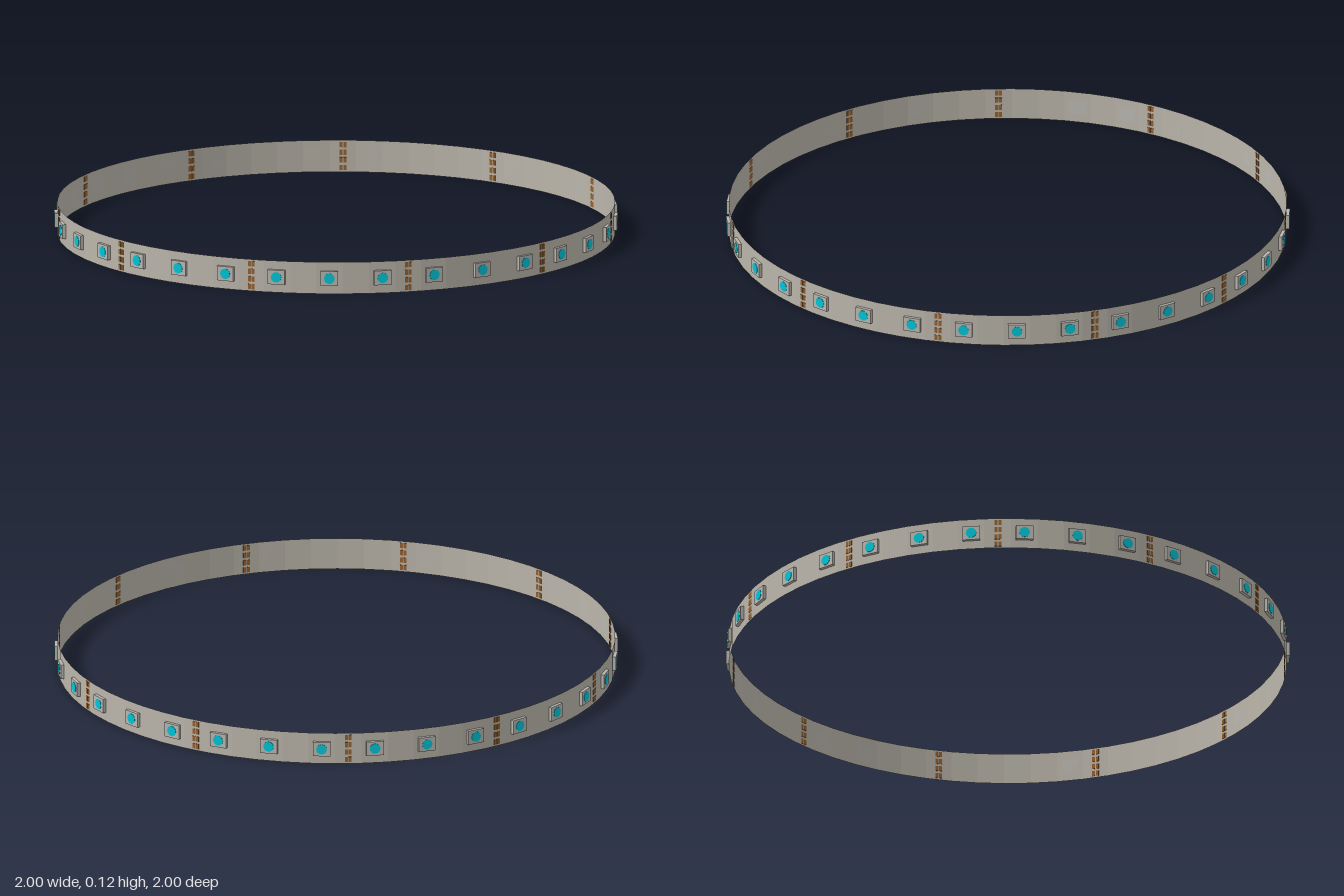
import * as THREE from 'three';

const LEDS = 33, FACETS = 66, R = 0.987, H = 0.115;
const STEP = (Math.PI * 2) / LEDS;
const TURN = -0.006; // slight rotation of the whole ring

function material(name, color, side = THREE.FrontSide) {
  const m = new THREE.MeshStandardMaterial({ color, side });
  m.name = name;
  return m;
}

export function createModel() {
  const root = new THREE.Group();
  root.name = 'ledStripRing';

  const stripMat = material('strip grey', 0xbab5aa, THREE.DoubleSide);
  stripMat.flatShading = true;
  const housingMat = material('housing grey', 0xb9b7b0);
  const lensMat = material('lens cyan', 0x00c4d6);
  const copperMat = material('copper brown', 0x94602f);

  const add = (parent, name, geo, mat, x, y, z) => {
    const mesh = new THREE.Mesh(geo, mat);
    mesh.name = name;
    mesh.position.set(x, y, z);
    parent.add(mesh);
    return mesh;
  };

  // Group whose local +z points outward at the given angle
  const station = (name, angle) => {
    const g = new THREE.Group();
    g.name = name;
    g.rotation.y = angle + TURN;
    root.add(g);
    return g;
  };

  // Thin open band, with a facet centred behind each lamp
  const seg = (Math.PI * 2) / FACETS;
  const rim = R / Math.cos(seg / 2);
  const band = new THREE.CylinderGeometry(rim, rim, H, FACETS, 1, true, seg / 2);
  add(root, 'strip', band, stripMat, 0, H / 2, 0).rotation.y = TURN;

  // Lamps: square housing, round lens
  const housing = new THREE.BoxGeometry(0.062, 0.052, 0.012);
  const lens = new THREE.CylinderGeometry(0.019, 0.019, 0.003, 12).rotateX(Math.PI / 2);
  for (let i = 0; i < LEDS; i++) {
    const g = station('lamp', (i + 0.5) * STEP);
    add(g, 'housing', housing, housingMat, 0, H / 2, R + 0.006);
    add(g, 'lens', lens, lensMat, 0, H / 2, R + 0.0118);
  }

  // Copper solder pads at every third gap, showing on both faces
  const pad = new THREE.BoxGeometry(0.011, 0.019, 0.003);
  for (let i = 0; i < LEDS; i += 3) {
    const g = station('solderPads', i * STEP);
    for (let row = 0; row < 4; row++) {
      for (const side of [-1, 1]) {
        add(g, 'pad', pad, copperMat, side * 0.0068, 0.016 + row * 0.0277, R);
      }
    }
  }
  return root;
}
